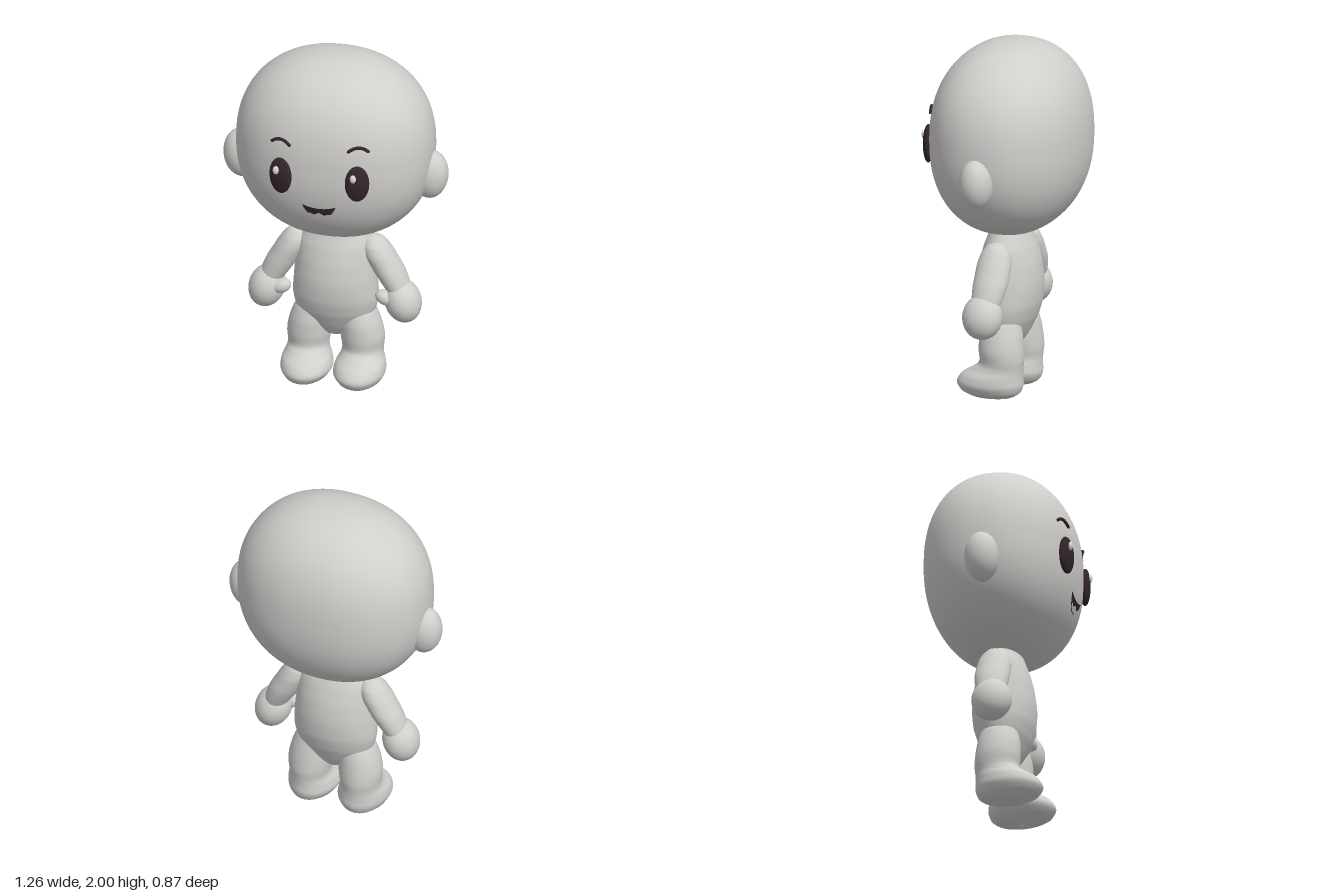
import * as THREE from 'three';

const mat = (name, color, side = THREE.FrontSide) => {
  const m = new THREE.MeshStandardMaterial({ color, side });
  m.name = name;
  return m;
};

// Head: a softly squared ellipsoid
const HEAD = { a: 0.55, b: 0.54, c: 0.425, y: 1.46, z: -0.015, p: 2.15 };
const yPower = (y) => (y > 0 ? 2.35 : 2.25);
const signedPow = (v, e) => Math.sign(v) * Math.abs(v) ** e;

// Depth of the face surface at a point seen from the front
function faceZ(x, y) {
  const h = (y - HEAD.y) / HEAD.b;
  const rest = 1 - Math.abs(x / HEAD.a) ** HEAD.p - Math.abs(h) ** yPower(h);
  return HEAD.z + HEAD.c * Math.max(rest, 0) ** (1 / HEAD.p);
}

function headGeometry() {
  const g = new THREE.SphereGeometry(1, 80, 60);
  const pos = g.attributes.position, nor = g.attributes.normal;
  const n = new THREE.Vector3();
  for (let i = 0; i < pos.count; i++) {
    const y0 = pos.getY(i), flat = Math.max(Math.hypot(pos.getX(i), pos.getZ(i)), 1e-9);
    const e = 2 / HEAD.p, k = yPower(y0), h = flat ** e;
    const x = h * signedPow(pos.getX(i) / flat, e);
    const z = h * signedPow(pos.getZ(i) / flat, e);
    const y = signedPow(y0, 2 / k);
    pos.setXYZ(i, x * HEAD.a, y * HEAD.b + HEAD.y, z * HEAD.c + HEAD.z);
    n.set(
      signedPow(x, HEAD.p - 1) * HEAD.p / HEAD.a,
      signedPow(y, k - 1) * k / HEAD.b,
      signedPow(z, HEAD.p - 1) * HEAD.p / HEAD.c
    ).normalize();
    nor.setXYZ(i, n.x, n.y, n.z);
  }
  return g;
}

// Smooth skin over horizontal ellipses [y, centreX, centreZ, radiusX, radiusZ], bottom to top
function loft(rings, side = 1, steps = 6, sides = 40) {
  const centres = new THREE.CatmullRomCurve3(rings.map((r) => new THREE.Vector3(r[1] * side, r[0], r[2])));
  const radii = new THREE.CatmullRomCurve3(rings.map((r) => new THREE.Vector3(r[3], 0, r[4])));
  const rows = (rings.length - 1) * steps, pos = [], idx = [];
  for (let i = 0; i <= rows; i++) {
    const c = centres.getPoint(i / rows), r = radii.getPoint(i / rows);
    for (let j = 0; j < sides; j++) {
      const a = (j / sides) * Math.PI * 2;
      pos.push(c.x + r.x * Math.cos(a), c.y, c.z + r.z * Math.sin(a));
      if (i === rows) continue;
      const p = i * sides + j, q = i * sides + (j + 1) % sides;
      idx.push(p, p + sides, q, q, p + sides, q + sides);
    }
  }
  const g = new THREE.BufferGeometry();
  g.setAttribute('position', new THREE.Float32BufferAttribute(pos, 3));
  g.setIndex(idx);
  g.computeVertexNormals();
  return g;
}

// Thin patch lying on the face between an upper and a lower curve
function facePatch(halfWidth, top, bottom, lift) {
  const g = new THREE.PlaneGeometry(2, 1, 24, 6), pos = g.attributes.position;
  for (let i = 0; i < pos.count; i++) {
    const u = pos.getX(i), v = pos.getY(i) + 0.5;
    const x = u * halfWidth, y = THREE.MathUtils.lerp(bottom(u), top(u), v);
    pos.setXYZ(i, x, y, faceZ(x, y) + lift);
  }
  g.computeVertexNormals();
  return g;
}

export function createModel() {
  const model = new THREE.Group();
  model.name = 'figure';
  const skin = mat('pale grey', 0xd0cfcc);
  const dark = mat('dark brown', 0x33262a);
  const darkSheet = mat('mouth brown', 0x33262a, THREE.DoubleSide);
  const white = mat('tongue grey', 0xd0cfcc, THREE.DoubleSide);
  const shine = mat('eye shine', 0xdcdedc);

  const add = (name, geometry, material) => {
    const mesh = new THREE.Mesh(geometry, material);
    mesh.name = name;
    model.add(mesh);
    return mesh;
  };
  const ball = (name, material, x, y, z, rx, ry, rz) => {
    const mesh = add(name, new THREE.SphereGeometry(1, 36, 24), material);
    mesh.position.set(x, y, z);
    mesh.scale.set(rx, ry, rz);
    return mesh;
  };

  add('head', headGeometry(), skin);

  // Torso
  add('torso', loft([
    [0.265, 0, -0.01, 0.002, 0.002],
    [0.285, 0, -0.01, 0.06, 0.055],
    [0.35, 0, -0.01, 0.155, 0.1],
    [0.44, 0, -0.01, 0.222, 0.143],
    [0.53, 0, -0.01, 0.238, 0.168],
    [0.63, 0, -0.01, 0.232, 0.175],
    [0.75, 0, -0.01, 0.22, 0.162],
    [0.85, 0, -0.008, 0.205, 0.135],
    [0.93, 0, -0.006, 0.165, 0.104],
    [1.0, 0, -0.005, 0.13, 0.09],
  ]), skin);

  for (const s of [1, -1]) {
    const label = s > 0 ? 'left' : 'right';

    // Arm, hand and thumb
    add(label + 'Arm', loft([
      [0.53, 0.385, 0.0, 0.05, 0.06],
      [0.58, 0.362, 0.0, 0.068, 0.078],
      [0.64, 0.332, -0.004, 0.08, 0.09],
      [0.71, 0.295, -0.008, 0.088, 0.097],
      [0.79, 0.25, -0.008, 0.088, 0.095],
      [0.85, 0.225, -0.008, 0.076, 0.08],
      [0.89, 0.215, -0.008, 0.05, 0.048],
      [0.906, 0.21, -0.008, 0.002, 0.002],
    ], s), skin);
    const hand = ball(label + 'Hand', skin, s * 0.382, 0.525, 0.01, 0.1, 0.125, 0.112);
    hand.rotation.z = s * 0.3;
    const thumb = ball(label + 'Thumb', skin, s * 0.295, 0.555, 0.055, 0.06, 0.042, 0.045);
    thumb.rotation.z = s * -0.35;

    // Leg flowing into the foot
    add(label + 'LegAndFoot', loft([
      [0.003, 0.152, 0.05, 0.002, 0.002],
      [0.014, 0.152, 0.045, 0.07, 0.115],
      [0.045, 0.15, 0.05, 0.12, 0.17],
      [0.09, 0.148, 0.053, 0.143, 0.188],
      [0.135, 0.15, 0.04, 0.136, 0.173],
      [0.175, 0.152, 0.008, 0.117, 0.142],
      [0.21, 0.152, -0.014, 0.114, 0.124],
      [0.28, 0.15, -0.012, 0.121, 0.125],
      [0.36, 0.142, -0.008, 0.114, 0.12],
      [0.43, 0.13, -0.008, 0.1, 0.105],
      [0.49, 0.12, -0.008, 0.07, 0.08],
    ], s), skin);

    // Ear
    const ear = ball(label + 'Ear', skin, s * 0.53, 1.322, -0.01, 0.1, 0.142, 0.095);
    ear.rotation.z = s * -0.08;

    // Eye, its shine and the brow
    const eye = ball(label + 'Eye', dark, s * 0.215, 1.43, 0.39, 0.067, 0.108, 0.03);
    eye.rotation.y = s * 0.27;
    ball(label + 'EyeShine', shine, s * 0.217 - 0.018, 1.473, s > 0 ? 0.422 : 0.418, 0.017, 0.025, 0.012);
    const brow = [-1, -0.55, 0, 0.55, 1].map((t) => {
      const x = s * (0.218 + t * 0.052), y = 1.644 - 0.022 * t * t;
      return new THREE.Vector3(x, y, faceZ(x, y) + 0.006);
    });
    add(label + 'Brow', new THREE.TubeGeometry(new THREE.CatmullRomCurve3(brow), 24, 0.009, 10), dark);
    for (const end of [brow[0], brow[4]]) ball(label + 'BrowEnd', dark, end.x, end.y, end.z, 0.009, 0.009, 0.009);
  }

  // Open smiling mouth with the tongue at the bottom
  const lower = (u) => 1.18 + 0.088 * Math.abs(u) ** 2.6;
  add('mouth', facePatch(0.095, (u) => 1.249 + 0.02 * u * u, lower, 0.008), darkSheet);
  add('tongue', facePatch(0.066,
    (u) => 1.213 + 0.008 * Math.cos(u * 7) * (1 - u * u),
    (u) => Math.min(lower(u * 0.066 / 0.095), 1.213), 0.012), white);
  return model;
}
